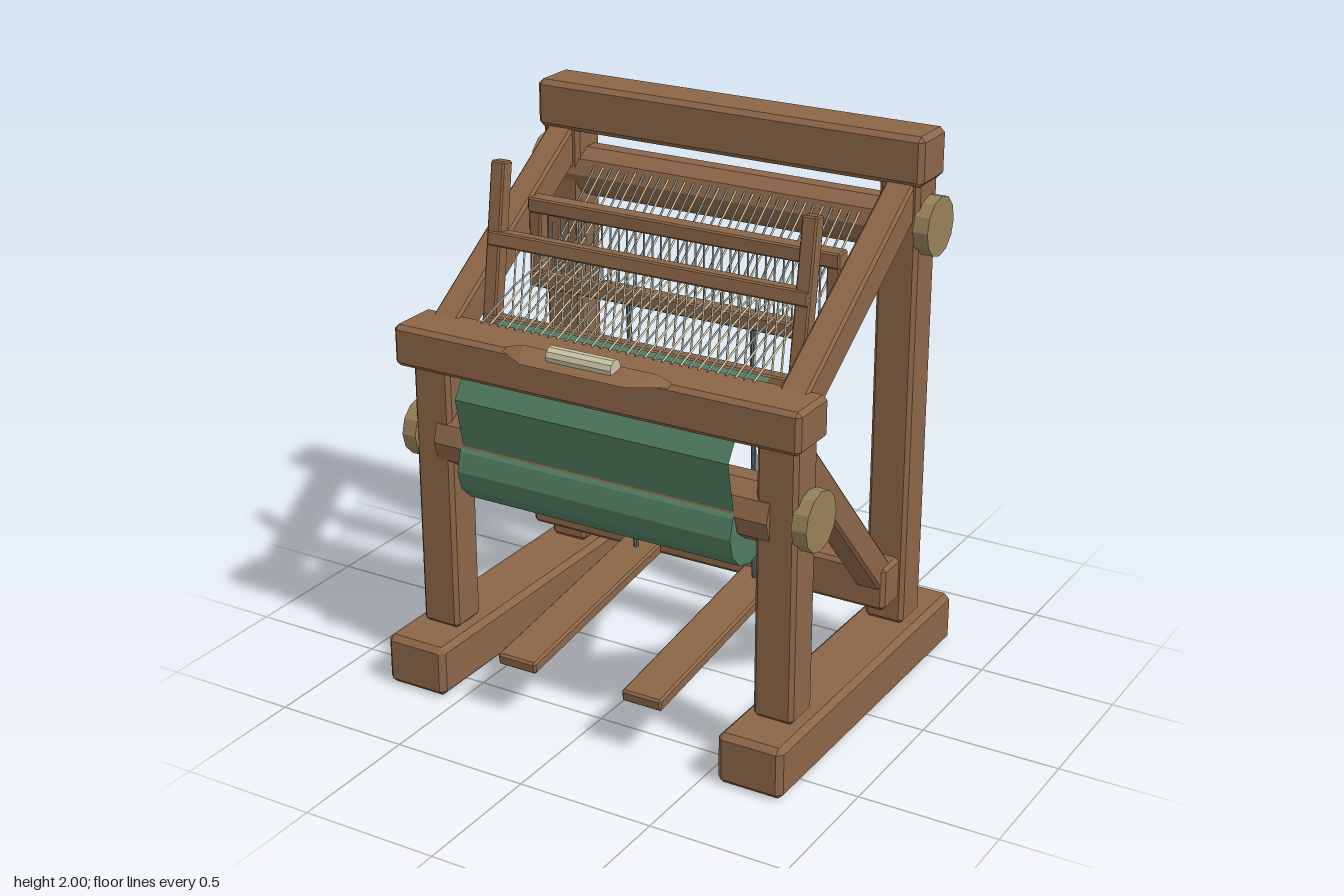
import * as THREE from 'three';
import { mergeGeometries } from 'three/addons/utils/BufferGeometryUtils.js';
import { ConvexGeometry } from 'three/addons/geometries/ConvexGeometry.js';

const mat = (name, color, extra = {}) => {
  const m = new THREE.MeshStandardMaterial({ color, flatShading: true, ...extra });
  m.name = name;
  return m;
};
const V = (x, y, z) => new THREE.Vector3(x, y, z);

export function createModel() {
  const wood = mat('wood', 0x8b6547);
  const tan = mat('pale wood', 0x958058);
  const green = mat('green cloth', 0x4f7b60, { side: THREE.DoubleSide });
  const cream = mat('cream thread', 0xcdc5a6);
  const steel = mat('steel', 0x929c96);
  const iron = mat('dark iron', 0x5f6b6d);

  const loom = new THREE.Group();
  loom.name = 'loom';
  const add = (name, geo, material, x = 0, y = 0, z = 0, parent = loom) => {
    const m = new THREE.Mesh(geo, material);
    m.name = name;
    m.position.set(x, y, z);
    parent.add(m);
    return m;
  };

  // Box with every edge chamfered
  const chamferBox = (w, h, d, c) => {
    const pts = [];
    for (const sx of [-1, 1]) for (const sy of [-1, 1]) for (const sz of [-1, 1]) {
      const [x, y, z] = [w / 2, h / 2, d / 2];
      pts.push(V(sx * x, sy * (y - c), sz * (z - c)));
      pts.push(V(sx * (x - c), sy * y, sz * (z - c)));
      pts.push(V(sx * (x - c), sy * (y - c), sz * z));
    }
    return new ConvexGeometry(pts);
  };
  // Timber given by its min and max on each axis
  const timber = (name, x0, x1, y0, y1, z0, z1, c = 0.014) =>
    add(name, chamferBox(x1 - x0, y1 - y0, z1 - z0, c), wood, (x0 + x1) / 2, (y0 + y1) / 2, (z0 + z1) / 2);
  // Sloping timber between two (y, z) points
  const slope = (name, x, w, t, [ya, za], [yb, zb], c = 0.01) => {
    const len = Math.hypot(yb - ya, zb - za);
    const m = add(name, chamferBox(w, len, t, c), wood, x, (ya + yb) / 2, (za + zb) / 2);
    m.rotation.x = Math.atan2(zb - za, yb - ya);
    return m;
  };
  // Round bar along x
  const roller = (name, r, len, sides, material, x, y, z) => {
    const g = new THREE.CylinderGeometry(r, r, len, sides).rotateZ(Math.PI / 2);
    return add(name, g, material, x, y, z);
  };
  // Thin strand through a list of points
  const strand = (pts, r, sides = 4) => {
    const parts = [];
    for (let i = 0; i < pts.length - 1; i++) {
      const dir = pts[i + 1].clone().sub(pts[i]);
      const g = new THREE.CylinderGeometry(r, r, dir.length(), sides);
      g.applyQuaternion(new THREE.Quaternion().setFromUnitVectors(V(0, 1, 0), dir.clone().normalize()));
      const mid = pts[i].clone().add(pts[i + 1]).multiplyScalar(0.5);
      parts.push(g.translate(mid.x, mid.y, mid.z));
    }
    return mergeGeometries(parts);
  };

  // Side frames, mirrored
  for (const [s, side] of [[1, 'left'], [-1, 'right']]) {
    const pair = (name, a, b, ...rest) =>
      timber(side + name, Math.min(s * a, s * b), Math.max(s * a, s * b), ...rest);
    pair('Foot', 0.553, 0.797, 0, 0.19, -0.665, 0.665, 0.02);
    pair('FrontPost', 0.6, 0.75, 0.19, 1.22, 0.36, 0.505);
    pair('BackPost', 0.6, 0.75, 0.19, 1.86, -0.48, -0.333);
    slope(side + 'UpperRail', s * 0.677, 0.105, 0.118, [1.8, -0.39], [1.262, 0.41]);
    slope(side + 'LowerBrace', s * 0.677, 0.1, 0.108, [1.12, 0.4], [0.36, -0.29]);
    roller(side + 'ClothBeamCap', 0.106, 0.055, 12, tan, s * 0.767, 0.915, 0.415);
    roller(side + 'WarpBeamCap', 0.106, 0.055, 12, tan, s * 0.767, 1.675, -0.42);
    // Beater uprights
    slope(side + 'BeaterUpright', s * 0.602, 0.055, 0.056, [1.84, 0.145], [1.27, 0.228], 0.006);
    // Heddle frame uprights
    pair('HeddleUpright', 0.565, 0.615, 1.34, 1.65, -0.08, -0.028, 0.006);
    // Treadles and their tie rods
    slope(side + 'Treadle', s * 0.252, 0.155, 0.046, [0.212, 0.645], [0.332, -0.27], 0.008);
    add(side + 'TieRod', strand([V(s * 0.25, 0.33, -0.145), V(s * 0.25, 1.3, -0.106)], 0.01, 8), iron);
  }

  // Cross beams
  timber('topBeam', -0.765, 0.765, 1.825, 2, -0.505, -0.318, 0.018);
  timber('breastBeam', -0.785, 0.785, 1.187, 1.337, 0.36, 0.562, 0.016);
  timber('treadleBeam', -0.74, 0.74, 0.3, 0.465, -0.327, -0.195);
  roller('clothBeam', 0.113, 1.31, 10, wood, 0, 0.915, 0.415);
  roller('warpBeam', 0.095, 1.31, 10, wood, 0, 1.665, -0.42);

  // Rolled cloth and the sheet coming down from the breast beam
  roller('clothRoll', 0.138, 1.075, 12, green, 0, 0.842, 0.418);
  const profile = [[1.31, 0.272], [1.3, 0.4], [1.19, 0.512], [1.112, 0.562], [0.93, 0.524]];
  const sheet = new THREE.PlaneGeometry(1.065, 1, 1, profile.length - 1);
  const pos = sheet.attributes.position;
  for (let i = 0; i < pos.count; i++) {
    const [y, z] = profile[Math.floor(i / 2)];
    pos.setY(i, y);
    pos.setZ(i, z);
  }
  sheet.computeVertexNormals();
  add('clothSheet', sheet, green);

  // Beater bars and heddle frame bars
  slope('beaterTopBar', 0, 1.25, 0.07, [1.598, 0.178], [1.546, 0.186], 0.006);
  slope('beaterBottomBar', 0, 1.25, 0.07, [1.305, 0.224], [1.25, 0.232], 0.006);
  timber('heddleTopBar', -0.615, 0.615, 1.605, 1.66, -0.088, -0.022, 0.006);
  timber('heddleBottomBar', -0.615, 0.615, 1.33, 1.385, -0.088, -0.022, 0.006);

  // Warp threads, heddle wires and reed wires
  const warpA = [], warpB = [], heddles = [], reed = [];
  const count = 32;
  for (let i = 0; i < count; i++) {
    const x = -0.53 + (1.06 * i) / (count - 1);
    const lift = i % 2 ? 0.01 : -0.01;
    const path = [V(x, 1.705, -0.335), V(x, 1.475 + lift, -0.055), V(x, 1.41, 0.2), V(x, 1.338, 0.395)];
    (i % 2 ? warpA : warpB).push(strand(path, 0.0045));
    heddles.push(strand([V(x, 1.37, -0.055), V(x, 1.62, -0.055)], 0.004));
    reed.push(strand([V(x + 0.008, 1.29, 0.226), V(x + 0.008, 1.56, 0.184)], 0.004));
  }
  add('warpThreadsUpper', mergeGeometries(warpA), cream);
  add('warpThreadsLower', mergeGeometries(warpB), steel);
  add('heddleWires', mergeGeometries(heddles), steel);
  add('reedWires', mergeGeometries(reed), cream);

  // Shuttle with its bobbin, resting at the front edge
  const hull = [];
  for (const s of [-1, 1]) {
    hull.push(V(s * 0.32, 1.345, 0.553), V(s * 0.32, 1.335, 0.575), V(s * 0.2, 1.34, 0.655));
    hull.push(V(s * 0.26, 1.36, 0.545), V(s * 0.14, 1.317, 0.55));
  }
  add('shuttle', new ConvexGeometry(hull), wood);
  roller('bobbin', 0.031, 0.25, 10, cream, 0, 1.365, 0.582);

  return loom;
}
